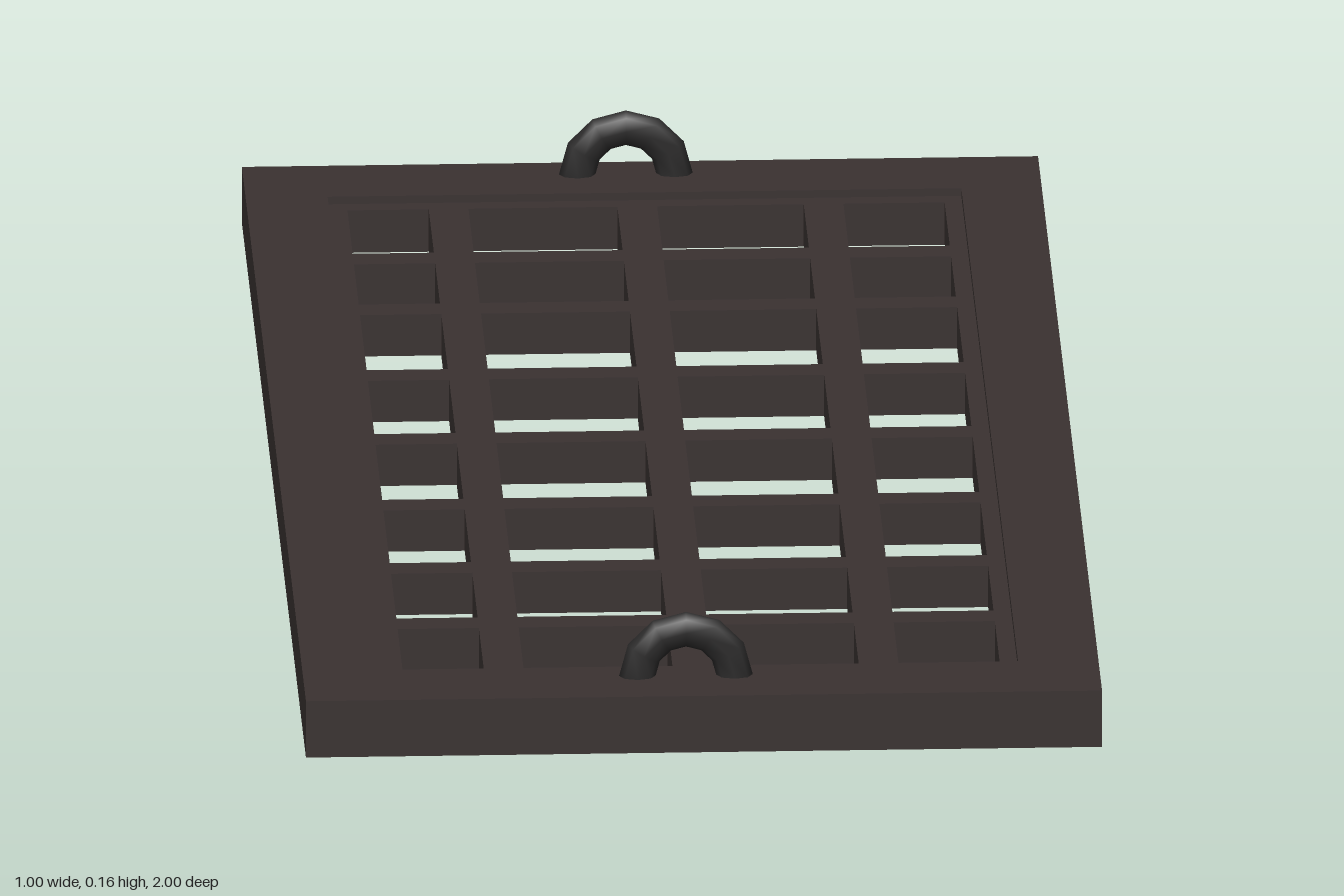
import * as THREE from 'three';

const iron = new THREE.MeshStandardMaterial({ color: 0x3a3231 });
const darkIron = new THREE.MeshStandardMaterial({ color: 0x2b2a2a });

// Rectangle outline; shape y is -z once the slab is laid flat
function rect(path, x0, x1, z0, z1) {
  path.moveTo(x0, -z1);
  path.lineTo(x1, -z1);
  path.lineTo(x1, -z0);
  path.lineTo(x0, -z0);
  path.closePath();
  return path;
}

// Flat slab between heights y0 and y1 with rectangular holes
function slab(name, outer, holes, y0, y1) {
  const shape = rect(new THREE.Shape(), ...outer);
  for (const h of holes) shape.holes.push(rect(new THREE.Path(), ...h));
  const geo = new THREE.ExtrudeGeometry(shape, { depth: y1 - y0, bevelEnabled: false });
  geo.rotateX(-Math.PI / 2);
  geo.translate(0, y0, 0);
  const mesh = new THREE.Mesh(geo, iron);
  mesh.name = name;
  return mesh;
}

// Gaps between bars: from the rim's inner edge through each bar
function gaps(min, max, bars, width) {
  const edges = [min, ...bars.flatMap((b) => [b - width / 2, b + width / 2]), max];
  const out = [];
  for (let i = 0; i < edges.length; i += 2) out.push([edges[i], edges[i + 1]]);
  return out;
}

// Half-ring handle with flattened section and closed feet
function handle(name, z) {
  const R = 0.061, r = 0.023;
  const group = new THREE.Group();
  group.name = name;
  const arch = new THREE.Mesh(new THREE.TorusGeometry(R, r, 8, 6, Math.PI), darkIron);
  arch.name = 'handleArch';
  group.add(arch);
  for (const side of [-1, 1]) {
    const foot = new THREE.Mesh(new THREE.CircleGeometry(r, 8).rotateX(Math.PI / 2), darkIron);
    foot.name = 'handleFoot';
    foot.position.x = side * R;
    group.add(foot);
  }
  group.scale.z = 0.72;
  group.position.set(-0.02, 0.079, z);
  return group;
}

export function createModel() {
  const model = new THREE.Group();
  model.name = 'grate';

  // Outer frame
  const opening = [-0.397, 0.399, -0.884, 0.886];
  model.add(slab('frame', [-0.5, 0.5, -1, 1], [opening], 0, 0.075));

  // Slightly recessed lattice with its own thin rim
  const columns = gaps(-0.373, 0.377, [-0.246, -0.009, 0.225], 0.05);
  const rows = gaps(-0.86, 0.864, [-0.678, -0.488, -0.242, -0.003, 0.243, 0.48, 0.687], 0.04);
  const cells = columns.flatMap((c) => rows.map((r) => [...c, ...r]));
  model.add(slab('lattice', opening, cells, 0.01, 0.065));

  // Lifting handles at both ends
  model.add(handle('frontHandle', 0.932), handle('backHandle', -0.945));
  return model;
}
